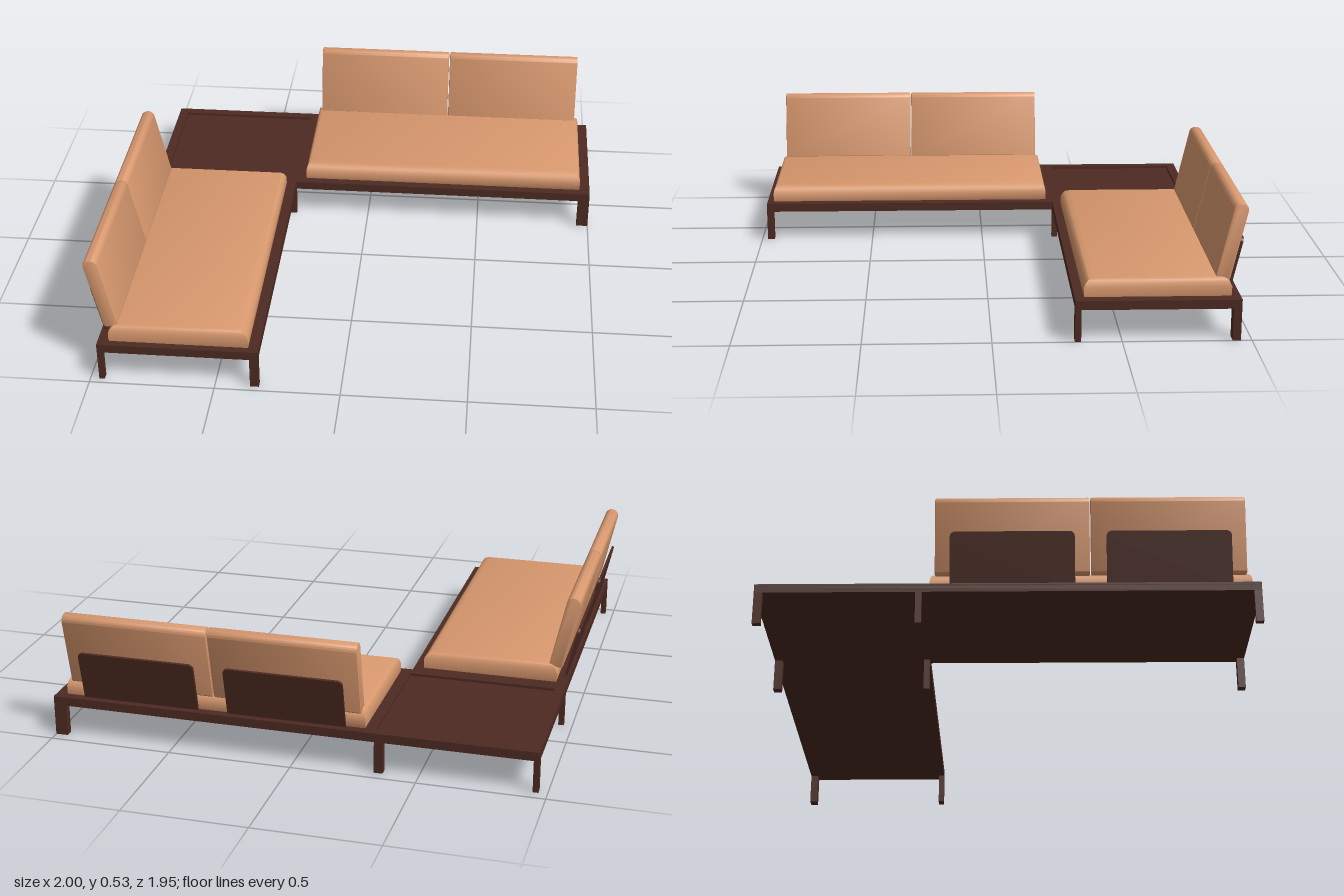
import * as THREE from 'three';
import { toCreasedNormals } from 'three/addons/utils/BufferGeometryUtils.js';

const fabric = new THREE.MeshStandardMaterial({ color: 0xd8986e });
const wood = new THREE.MeshStandardMaterial({ color: 0x4c2a21 });

function part(name, geometry, material, parent) {
  const mesh = new THREE.Mesh(geometry, material);
  mesh.name = name;
  parent.add(mesh);
  return mesh;
}

// Seat cushion: stacked rectangles that draw in towards the top, with mitred corners
function cushionGeometry(length, depth) {
  const rings = [[0.16, 0.006], [0.172, 0], [0.205, 0], [0.222, 0.008], [0.233, 0.02], [0.24, 0.042]];
  const corners = [[-1, 1], [1, 1], [1, -1], [-1, -1]];
  const positions = [];
  const index = [];
  rings.forEach(([y, inset], i) => {
    for (const [sx, sz] of corners) {
      positions.push(sx * (length / 2 - inset * 0.5), y, sz * (depth / 2 - inset));
    }
    if (i === 0) return;
    for (let j = 0; j < 4; j++) {
      const k = (j + 1) % 4;
      const low = (i - 1) * 4;
      const high = i * 4;
      index.push(low + j, low + k, high + k, low + j, high + k, high + j);
    }
  });
  const top = (rings.length - 1) * 4;
  index.push(top, top + 1, top + 2, top, top + 2, top + 3, 0, 2, 1, 0, 3, 2);
  const geometry = new THREE.BufferGeometry();
  geometry.setAttribute('position', new THREE.Float32BufferAttribute(positions, 3));
  geometry.setIndex(index);
  return toCreasedNormals(geometry, 0.75);
}

// Upright shape standing on y = 0, with separate bottom and top corner radii
function uprightShape(width, height, bottom, top) {
  const w = width / 2;
  const s = new THREE.Shape();
  s.moveTo(-w + bottom, 0);
  s.lineTo(w - bottom, 0);
  if (bottom) s.absarc(w - bottom, bottom, bottom, -Math.PI / 2, 0);
  s.lineTo(w, height - top);
  s.absarc(w - top, height - top, top, 0, Math.PI / 2);
  s.lineTo(-w + top, height);
  s.absarc(-w + top, height - top, top, Math.PI / 2, Math.PI);
  s.lineTo(-w, bottom);
  if (bottom) s.absarc(-w + bottom, bottom, bottom, Math.PI, Math.PI * 1.5);
  return s;
}

// Back cushion: rounded side profile extruded along x
function backGeometry(width) {
  const bevel = 0.005;
  const geometry = new THREE.ExtrudeGeometry(uprightShape(0.057, 0.312, 0.012, 0.026), {
    depth: width - 2 * bevel, bevelThickness: bevel, bevelSize: bevel,
    bevelOffset: -bevel, bevelSegments: 2, curveSegments: 8,
  });
  geometry.translate(0, 0, -width / 2 + bevel);
  geometry.rotateY(Math.PI / 2);
  return toCreasedNormals(geometry, 0.6);
}

// One seat facing +z, with two leaning back cushions held by wooden panels
function createSeat(name, depth, backShift) {
  const seat = new THREE.Group();
  seat.name = name;
  part('seatCushion', cushionGeometry(1.237, depth), fabric, seat);
  const lean = -0.22;
  for (const side of [-1, 1]) {
    const back = part('backCushion', backGeometry(0.597), fabric, seat);
    back.position.set(side * 0.301, 0.224, -0.25 - backShift);
    back.rotation.x = lean;

    const panelGeometry = new THREE.ExtrudeGeometry(uprightShape(0.48, 0.228, 0, 0.02), {
      depth: 0.01, bevelEnabled: false, curveSegments: 4,
    });
    const panel = part('backPanel', panelGeometry, wood, seat);
    panel.position.set(side * 0.301, 0.15, -0.288 - backShift);
    panel.rotation.x = lean;
  }
  return seat;
}

// Horizontal slab from an outline in x and z, with an optional rectangular hole
function slabGeometry(outline, y, height, hole) {
  const toPoints = (list) => list.map(([x, z]) => new THREE.Vector2(x, -z));
  const shape = new THREE.Shape(toPoints(outline));
  if (hole) shape.holes.push(new THREE.Path(toPoints(hole)));
  const geometry = new THREE.ExtrudeGeometry(shape, { depth: height, bevelEnabled: false });
  geometry.rotateX(-Math.PI / 2);
  geometry.translate(0, y, 0);
  return geometry;
}

export function createModel() {
  const model = new THREE.Group();
  model.name = 'cornerSofa';

  // L-shaped platform with a recessed table top in the corner
  const platform = new THREE.Group();
  platform.name = 'platform';
  model.add(platform);
  const outline = [[-0.965, 0.975], [-0.325, 0.975], [-0.325, -0.318], [1, -0.318], [1, -0.957], [-0.965, -0.957]];
  const recess = [[-0.925, -0.358], [-0.925, -0.917], [-0.325, -0.917], [-0.325, -0.358]];
  part('platformBase', slabGeometry(outline, 0.13, 0.025), wood, platform);
  part('platformTop', slabGeometry(outline, 0.155, 0.011, recess), wood, platform);

  // Legs at every corner and junction of the L
  const legX = [[-0.965, -0.943], [-0.36, -0.325], [0.95, 1]];
  const legZ = [[-0.957, -0.925], [-0.342, -0.318], [0.945, 0.975]];
  legX.forEach(([x0, x1], i) => {
    legZ.forEach(([z0, z1], j) => {
      if (i === 2 && j === 2) return;
      const leg = part('leg', new THREE.BoxGeometry(x1 - x0, 0.135, z1 - z0), wood, model);
      leg.position.set((x0 + x1) / 2, 0.0675, (z0 + z1) / 2);
    });
  });

  // Two seats at right angles
  const backSeat = createSeat('backSeat', 0.57, 0);
  backSeat.position.set(0.336, 0, -0.638);
  const sideSeat = createSeat('sideSeat', 0.556, 0.018);
  sideSeat.position.set(-0.643, 0, 0.328);
  sideSeat.rotation.y = Math.PI / 2;
  model.add(backSeat, sideSeat);

  return model;
}
